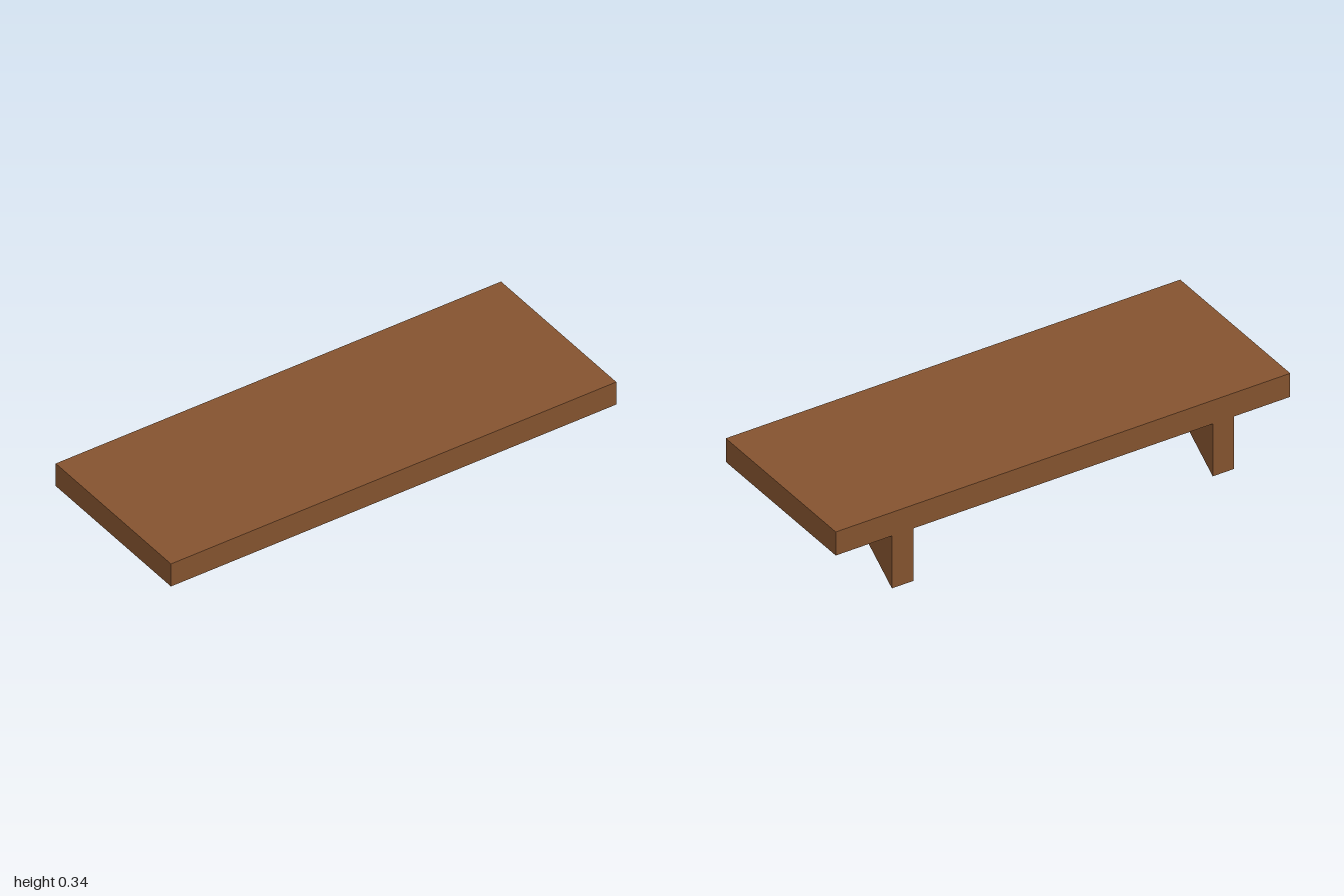
import * as THREE from 'three';

export function createModel() {
  const group = new THREE.Group();
  const wood = new THREE.MeshStandardMaterial({ color: 0x84532f });
  wood.name = 'brown wood';

  const depth = 0.756, top = 0.336, underside = 0.232, back = -depth / 2;

  // Shelf board
  const board = new THREE.Mesh(new THREE.BoxGeometry(2, top - underside, depth), wood);
  board.name = 'shelfBoard';
  board.position.y = (top + underside) / 2;
  group.add(board);

  // Triangular brackets, flush with the back edge; profile drawn in (z, y)
  const profile = new THREE.Shape([
    new THREE.Vector2(back, 0),
    new THREE.Vector2(-0.04, underside),
    new THREE.Vector2(back, underside),
  ]);
  const width = 0.094;
  const bracketGeometry = new THREE.ExtrudeGeometry(profile, { depth: width, bevelEnabled: false });
  bracketGeometry.translate(0, 0, -width / 2).rotateY(-Math.PI / 2);
  for (const [name, side] of [['leftBracket', 1], ['rightBracket', -1]]) {
    const bracket = new THREE.Mesh(bracketGeometry, wood);
    bracket.name = name;
    bracket.position.x = side * 0.706;
    group.add(bracket);
  }

  return group;
}
